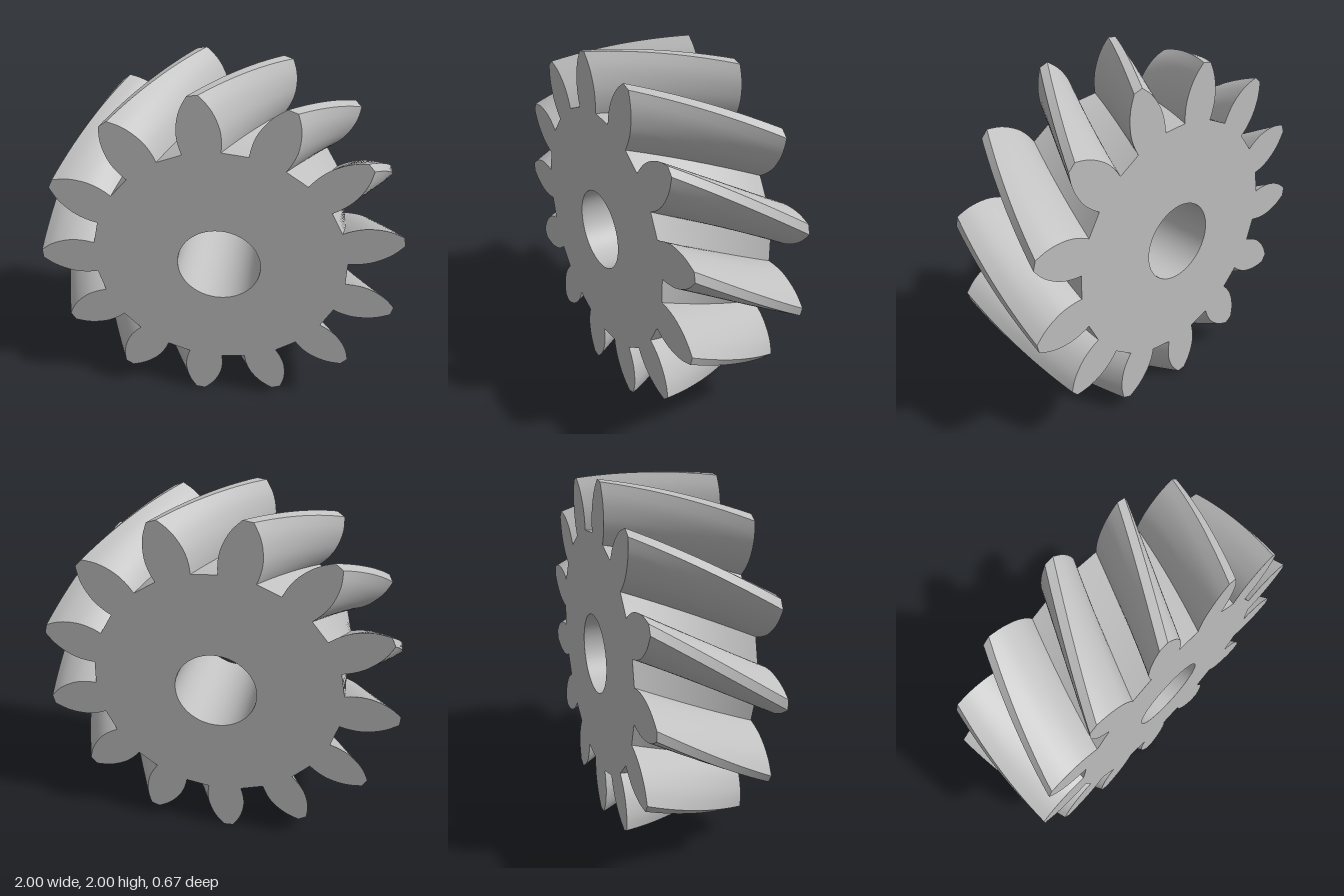
import * as THREE from 'three';
import { toCreasedNormals } from 'three/addons/utils/BufferGeometryUtils.js';

const TEETH = 13;
const WIDTH = 0.667;
const TWIST = THREE.MathUtils.degToRad(25);
const BORE = 0.23;

// Half of one tooth, pointing along +x: radius, half thickness
const FLANK = [[0.70, 0.099], [0.74, 0.107], [0.79, 0.111], [0.84, 0.107], [0.90, 0.09], [0.95, 0.065], [1.0, 0.027]];

function gearShape() {
  const flank = new THREE.SplineCurve(
    FLANK.map(([r, h]) => new THREE.Vector2(Math.sqrt(r * r - h * h), h))
  ).getPoints(14);
  const tooth = [
    ...flank.map((p) => new THREE.Vector2(p.x, -p.y)),
    ...flank.slice().reverse(),
  ];
  const outline = [];
  const centre = new THREE.Vector2();
  for (let i = 0; i < TEETH; i++) {
    const angle = Math.PI + (i * Math.PI * 2) / TEETH;
    for (const p of tooth) outline.push(p.clone().rotateAround(centre, angle));
  }
  const shape = new THREE.Shape(outline);
  shape.holes.push(new THREE.Path().absarc(0, 0, BORE, 0, Math.PI * 2, true));
  return shape;
}

export function createModel() {
  const steel = new THREE.MeshStandardMaterial({ color: 0xc0c0c0 });
  steel.name = 'steel grey';

  const extruded = new THREE.ExtrudeGeometry(gearShape(), {
    depth: WIDTH, steps: 20, curveSegments: 32, bevelEnabled: false,
  });
  extruded.translate(0, 0, -WIDTH / 2);

  // Turn each slice about the axle so the teeth become helical
  const pos = extruded.attributes.position;
  const v = new THREE.Vector3();
  const axis = new THREE.Vector3(0, 0, 1);
  for (let i = 0; i < pos.count; i++) {
    v.fromBufferAttribute(pos, i);
    v.applyAxisAngle(axis, -TWIST * (0.5 - v.z / WIDTH));
    pos.setXYZ(i, v.x, v.y, v.z);
  }
  extruded.clearGroups();

  const gear = new THREE.Mesh(toCreasedNormals(extruded, 0.5), steel);
  gear.name = 'helicalGear';
  gear.position.y = 1;

  const group = new THREE.Group();
  group.name = 'gear';
  group.add(gear);
  return group;
}
